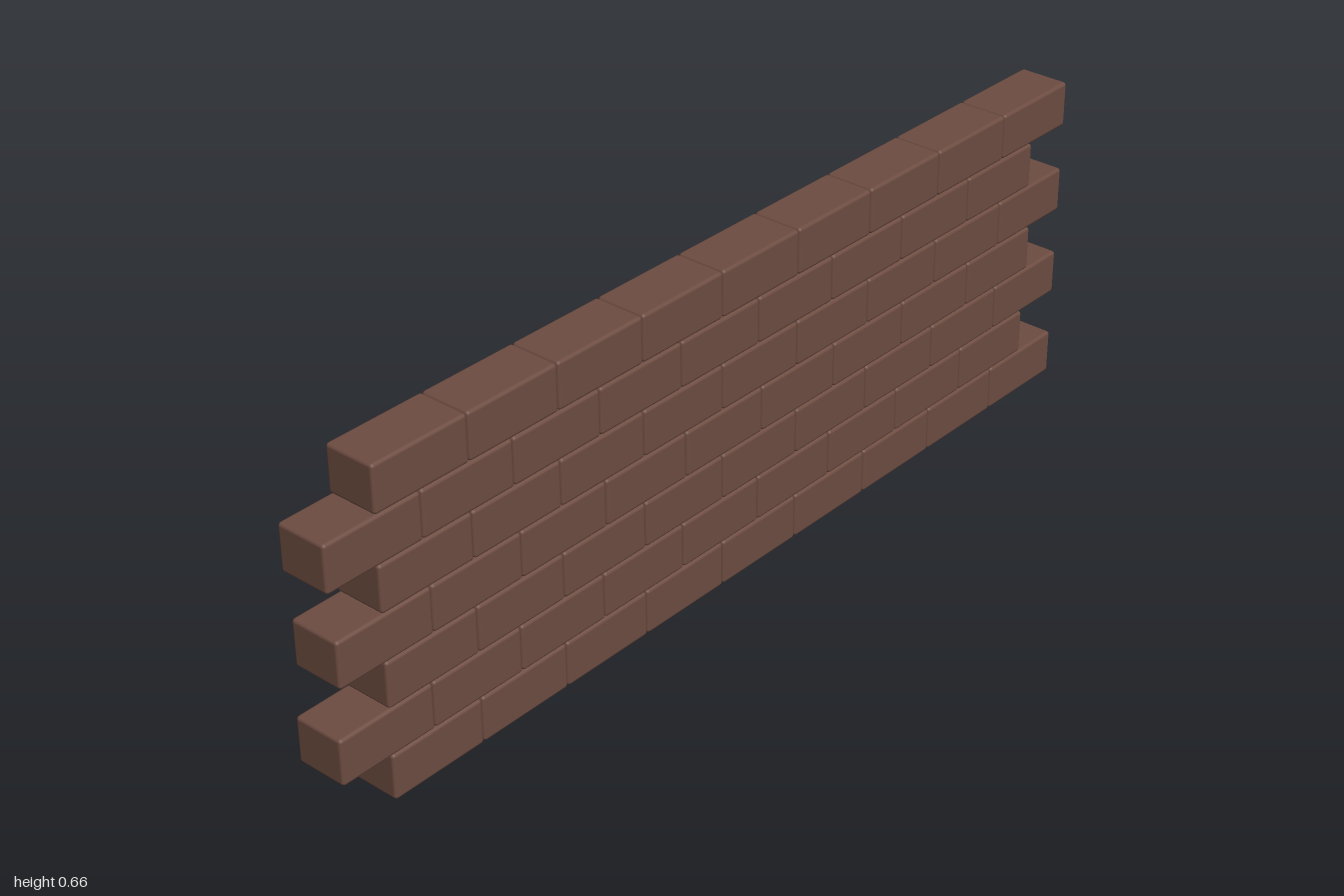
import * as THREE from 'three';
import { RoundedBoxGeometry } from 'three/addons/geometries/RoundedBoxGeometry.js';

export function createModel() {
  const wall = new THREE.Group();
  wall.name = 'brickWall';

  const brown = new THREE.MeshStandardMaterial({ color: 0x6d4c41 });
  brown.name = 'brickBrown';

  const bricksPerRow = 9;
  const pitch = 0.21; // brick spacing along z
  const rowPitch = 0.0943;
  const brick = new RoundedBoxGeometry(0.107, 0.0938, 0.2095, 2, 0.007);

  // back end (lowest z) of each course, bottom to top
  const courseStarts = [-1, -0.89, -1, -0.9, -1, -0.89, -1];

  courseStarts.forEach((start, row) => {
    const course = new THREE.Group();
    course.name = `course${row + 1}`;
    for (let i = 0; i < bricksPerRow; i++) {
      const mesh = new THREE.Mesh(brick, brown);
      mesh.name = 'brick';
      mesh.position.set(0, 0.0469 + row * rowPitch, start + (i + 0.5) * pitch);
      course.add(mesh);
    }
    wall.add(course);
  });

  return wall;
}
